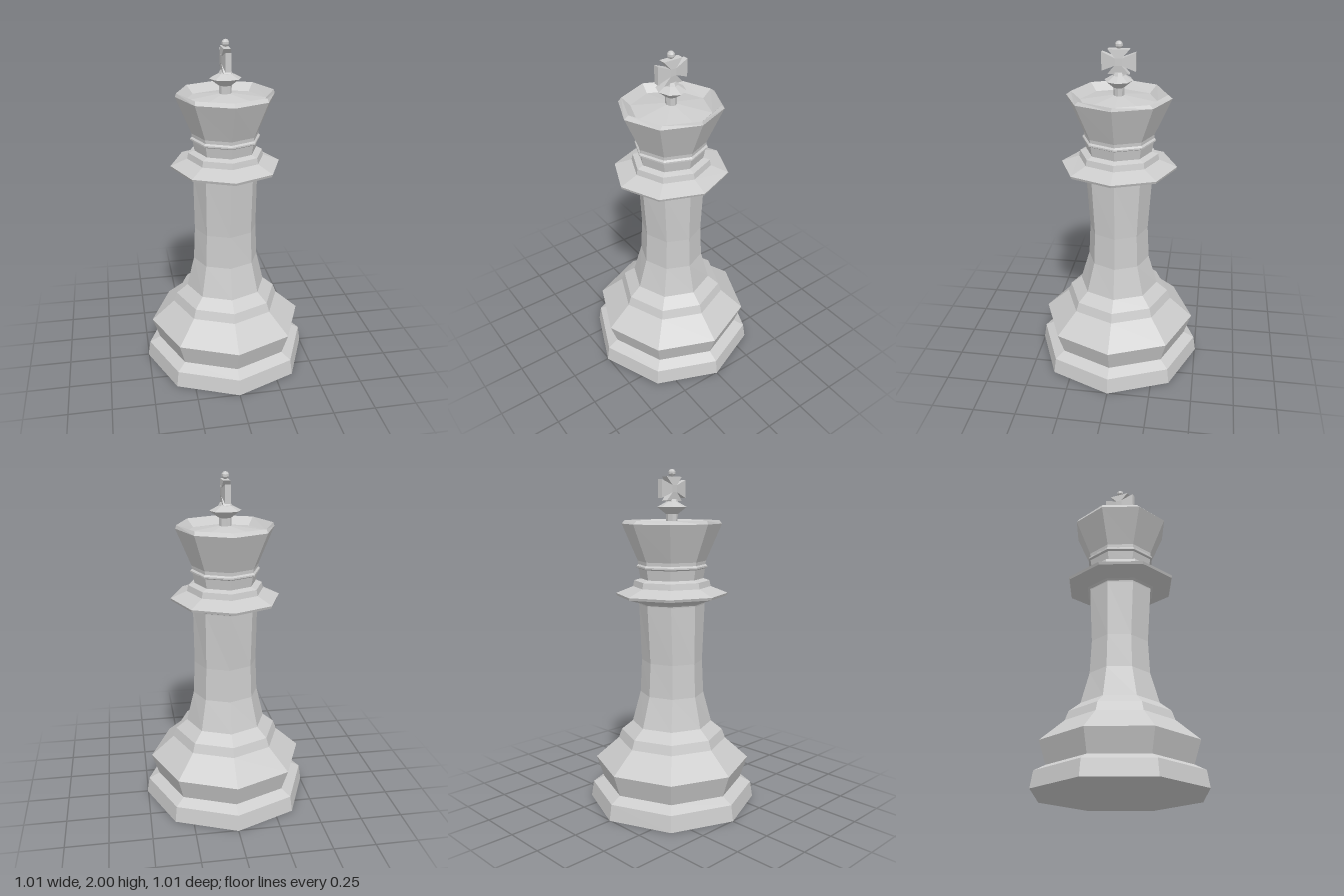
import * as THREE from 'three';

const SIDES = 8;

function flat(name, geometry) {
  const geo = geometry.index ? geometry.toNonIndexed() : geometry;
  geo.computeVertexNormals();
  const material = new THREE.MeshStandardMaterial({ color: 0xcccccc, flatShading: true });
  const mesh = new THREE.Mesh(geo, material);
  mesh.name = name;
  return mesh;
}

// Eight-sided turning; each ring is [z radius, height, x radius if different]
function turned(name, rings) {
  const geo = new THREE.LatheGeometry(rings.map(([r, y]) => new THREE.Vector2(r, y)), SIDES);
  const pos = geo.attributes.position;
  for (let i = 0; i < pos.count; i++) {
    const [rz, , rx = rz] = rings[i % rings.length];
    if (rz > 0) pos.setX(i, pos.getX(i) * rx / rz);
  }
  return flat(name, geo);
}

// Flared four-armed cross lying in the yz plane, thinner towards the side tips
function flaredCross() {
  const shape = new THREE.Shape([
    [0.018, 0.02], [0.095, 0.052], [0.095, -0.052], [0.018, -0.02],
    [0.06, -0.068], [-0.06, -0.068], [-0.018, -0.02], [-0.095, -0.052],
    [-0.095, 0.052], [-0.018, 0.02], [-0.06, 0.068], [0.06, 0.068],
  ].map(([x, y]) => new THREE.Vector2(x, y)));
  const geo = new THREE.ExtrudeGeometry(shape, { depth: 2, bevelEnabled: false });
  geo.translate(0, 0, -1);
  const pos = geo.attributes.position;
  for (let i = 0; i < pos.count; i++) {
    const half = 0.027 - 0.11 * Math.abs(pos.getX(i));
    pos.setZ(i, pos.getZ(i) * half);
  }
  geo.rotateY(Math.PI / 2);
  geo.translate(0, 1.888, 0);
  return flat('cross', geo);
}

export function createModel() {
  const model = new THREE.Group();
  model.name = 'chessKing';

  // Stepped foot
  model.add(turned('base', [
    [0, 0], [0.505, 0], [0.49, 0.095], [0.425, 0.13], [0.468, 0.26],
    [0.328, 0.385], [0.308, 0.44], [0.24, 0.495],
  ]));

  // Waisted column
  model.add(turned('shaft', [
    [0.24, 0.495], [0.186, 0.68, 0.196], [0.176, 0.88, 0.187],
    [0.198, 1.22, 0.192], [0.2, 1.235, 0.195],
  ]));

  // Wide collar and the step above it
  model.add(turned('collar', [
    [0.19, 1.22, 0.185], [0.215, 1.237, 0.205], [0.335, 1.27, 0.316], [0.34, 1.285, 0.322],
    [0.235, 1.325, 0.225], [0.228, 1.36, 0.217], [0.19, 1.372, 0.18],
  ]));

  // Flared head with a sunken, slightly domed top
  model.add(turned('crown', [
    [0.19, 1.37, 0.18], [0.201, 1.43, 0.191], [0.213, 1.437, 0.204], [0.213, 1.446, 0.204],
    [0.203, 1.455, 0.194], [0.204, 1.475, 0.196], [0.3, 1.69, 0.285], [0.274, 1.71, 0.278],
    [0.222, 1.665, 0.235], [0, 1.705],
  ]));

  // Stem and pointed bead under the cross
  model.add(turned('finial', [
    [0.03, 1.69, 0.035], [0.032, 1.745, 0.037], [0.08, 1.785, 0.092],
    [0.035, 1.812, 0.04], [0.028, 1.83, 0.03], [0, 1.83],
  ]));

  model.add(flaredCross());

  // Small ball on top
  const ball = new THREE.SphereGeometry(0.022, SIDES, 5);
  ball.translate(0, 1.978, 0);
  model.add(flat('topBall', ball));

  return model;
}
